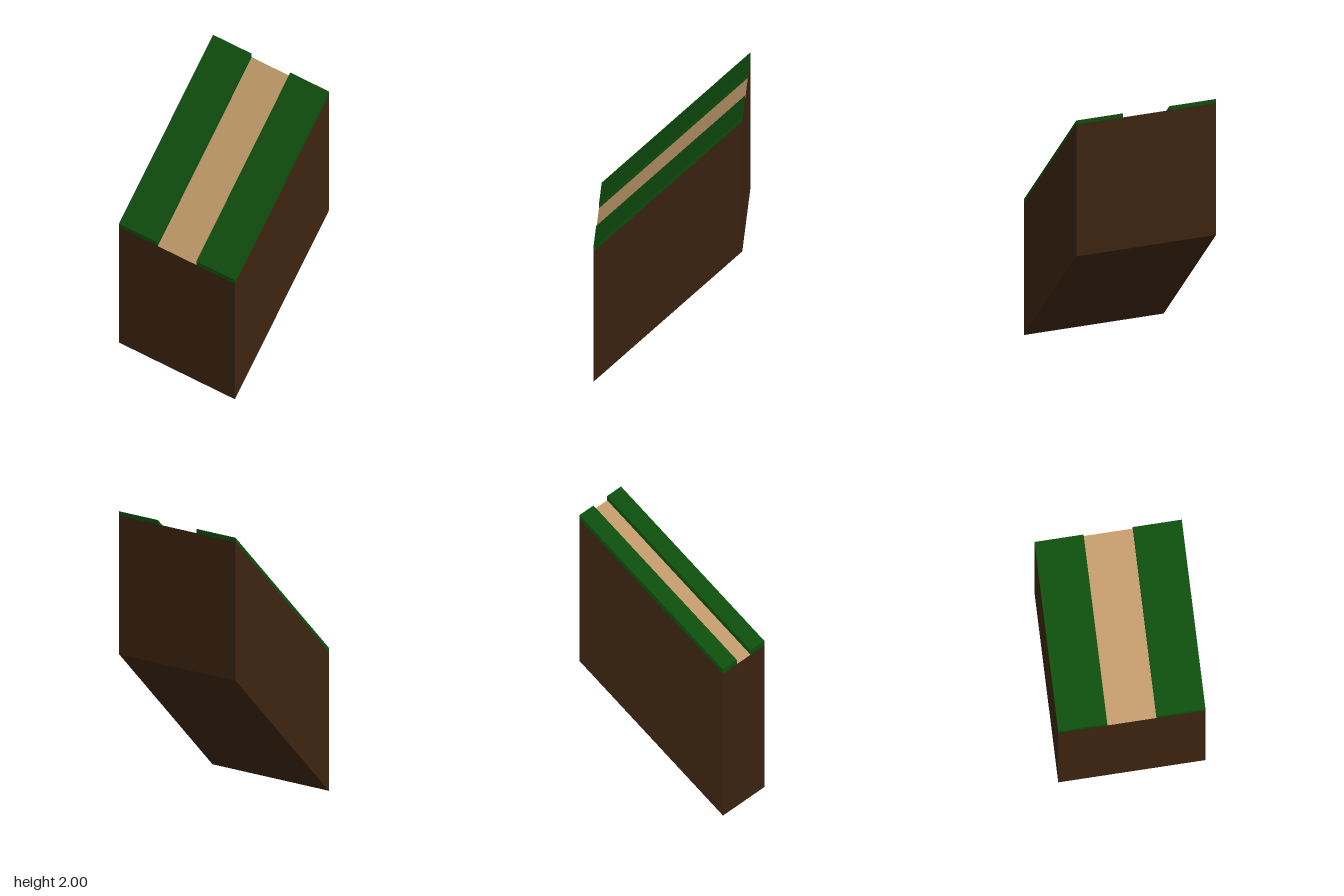
import * as THREE from 'three';

const soil = new THREE.MeshStandardMaterial({ color: 0x3d2410 });
soil.name = 'soil brown';
const grass = new THREE.MeshStandardMaterial({ color: 0x0e4e0e });
grass.name = 'grass green';
const path = new THREE.MeshStandardMaterial({ color: 0xc19a6b });
path.name = 'path tan';

// Box one unit long in x, sheared so that it climbs at 45 degrees
function slopedBox(name, bottom, top, z0, z1, material) {
  const geometry = new THREE.BoxGeometry(1, top - bottom, z1 - z0);
  geometry.translate(0, (bottom + top) / 2, (z0 + z1) / 2);
  const p = geometry.attributes.position;
  for (let i = 0; i < p.count; i++) p.setY(i, p.getY(i) + p.getX(i));
  geometry.computeVertexNormals();
  const mesh = new THREE.Mesh(geometry, material);
  mesh.name = name;
  return mesh;
}

export function createModel() {
  const model = new THREE.Group();
  model.name = 'slopedPathTile';
  const surface = 1.47, crest = 1.5, pathHalf = 1 / 6;

  // Soil block, its upper face forming the sunken path
  model.add(slopedBox('soilBlock', 0.5, surface, -0.5, 0.5,
    [soil, soil, path, soil, soil, soil]));

  // Raised grass verges on both sides of the path
  model.add(slopedBox('frontGrass', surface, crest, pathHalf, 0.5, grass));
  model.add(slopedBox('backGrass', surface, crest, -0.5, -pathHalf, grass));
  return model;
}
